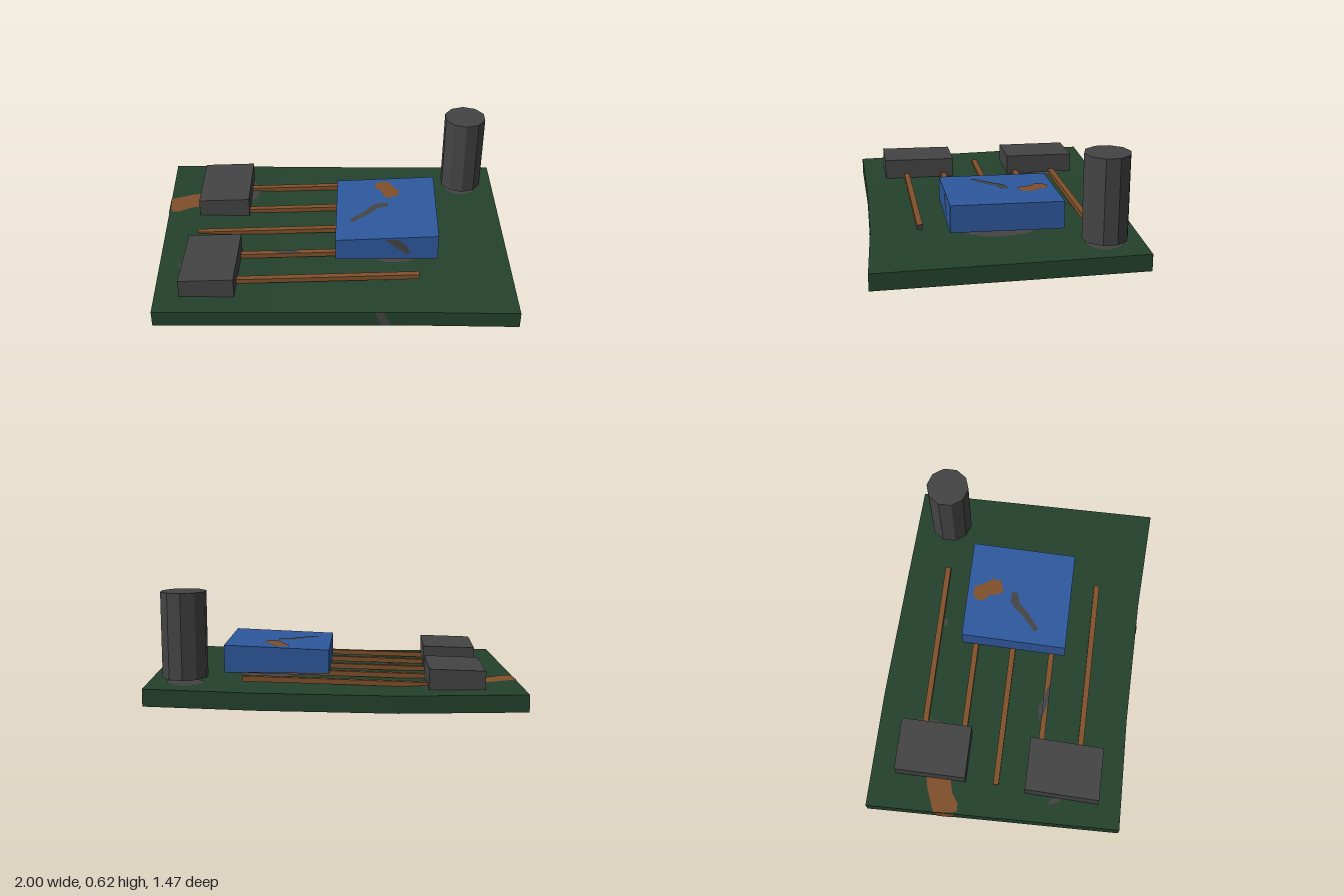
import * as THREE from 'three';

const mat = (name, color) => new THREE.MeshStandardMaterial({ name, color, flatShading: true, side: THREE.DoubleSide });
const lerp = THREE.MathUtils.lerp;

// Gently warped board: underside height, and outline at a few stations along x
const STATIONS = [-1, -0.33, 0.4, 1];
const BOTTOM = [0.016, 0.008, 0.017, 0.033];
const BACK = [-0.735, -0.735, -0.712, -0.69];
const FRONT = [0.7, 0.69, 0.7, 0.73];
const THICKNESS = 0.092;

function along(values, x) {
  let i = 0;
  while (i < 2 && x > STATIONS[i + 1]) i++;
  return lerp(values[i], values[i + 1], (x - STATIONS[i]) / (STATIONS[i + 1] - STATIONS[i]));
}
const under = (x, z) => along(BOTTOM, x) - 0.01 * z;
const over = (x, z) => under(x, z) + THICKNESS;

// Box whose floor and roof slope along x; skew shifts the back edge in x
function slab(x0, x1, z0, z1, floor, roof, skew = 0) {
  const g = new THREE.BoxGeometry(1, 1, 1);
  const p = g.attributes.position;
  for (let i = 0; i < p.count; i++) {
    const u = p.getX(i) + 0.5, w = p.getZ(i) + 0.5;
    const h = p.getY(i) > 0 ? roof : floor;
    p.setXYZ(i, lerp(x0, x1, u) + skew * (0.5 - w), lerp(h[0], h[1], u), lerp(z0, z1, w));
  }
  g.computeVertexNormals();
  return g;
}

// Flat patch from outline points (a, b), each mapped to a surface by place(a, b)
function patch(points, place) {
  const g = new THREE.ShapeGeometry(new THREE.Shape(points.map(([a, b]) => new THREE.Vector2(a, b))));
  const p = g.attributes.position;
  for (let i = 0; i < p.count; i++) p.setXYZ(i, ...place(p.getX(i), p.getY(i)));
  g.computeVertexNormals();
  return g;
}
const ellipse = (cx, cz, rx, rz, n = 14) => Array.from({ length: n }, (_, i) => {
  const a = (i / n) * Math.PI * 2;
  return [cx + rx * Math.cos(a), cz + rz * Math.sin(a)];
});

export function createModel() {
  const model = new THREE.Group();
  model.name = 'circuitBoard';
  const green = mat('boardGreen', 0x24422d);
  const blue = mat('chipBlue', 0x2e589e);
  const grey = mat('componentGrey', 0x444444);
  const copper = mat('copper', 0x80502b);
  const add = (name, geometry, material) => {
    const mesh = new THREE.Mesh(geometry, material);
    mesh.name = name;
    model.add(mesh);
  };

  // Board
  const board = new THREE.BoxGeometry(3, 1, 1, 3, 1, 1);
  const p = board.attributes.position;
  for (let i = 0; i < p.count; i++) {
    const k = Math.round(p.getX(i) + 1.5);
    const back = p.getZ(i) < 0;
    const z = (back ? BACK : FRONT)[k];
    const x = k === 0 ? (back ? -1 : -0.97) : k === 3 ? (back ? 0.985 : 0.995) : STATIONS[k];
    p.setXYZ(i, x, p.getY(i) > 0 ? over(x, z) : under(x, z), z);
  }
  board.computeVertexNormals();
  add('board', board, green);

  // Five copper traces, rising slightly to the right, with dark right ends
  [[-0.47, 0.49], [-0.24, 0.48], [-0.02, 0.48], [0.21, 0.48], [0.437, 0.475]].forEach(([z, end], i) => {
    add('trace' + (i + 1), slab(-0.795, end, z - 0.016, z + 0.016, [0.09, 0.131], [0.116, 0.16]),
      [grey, copper, copper, copper, copper, copper]);
  });

  // Components
  add('processor', slab(0.02, 0.595, -0.32, 0.287, [0.14, 0.147], [0.271, 0.298], 0.015), blue);
  add('backChip', slab(-0.797, -0.5, -0.595, -0.192, [0.095, 0.1], [0.21, 0.22], 0.005), grey);
  add('frontChip', slab(-0.83, -0.53, 0.148, 0.567, [0.092, 0.095], [0.204, 0.214], 0.015), grey);
  const capacitor = new THREE.CylinderGeometry(0.122, 0.122, 0.458, 10);
  capacitor.rotateZ(-0.004).translate(0.79, 0.387, -0.49);
  add('capacitor', capacitor, grey);

  // Stains on top of the board
  const onTop = (x, z) => [x, over(x, z) + 0.004, z];
  const cornerStain = [[-0.978, -0.22], [-0.995, -0.35], [-0.87, -0.4], [-0.79, -0.42], [-0.79, -0.28], [-0.87, -0.26], [-0.93, -0.22]];
  add('cornerStain', patch(cornerStain, onTop), copper);
  add('processorShadowPad', patch(ellipse(0.35, 0, 0.255, 0.28), onTop), grey);
  add('capacitorPad', patch(ellipse(0.79, -0.49, 0.1, 0.1), onTop), grey);
  add('backChipPad', patch(ellipse(-0.53, -0.45, 0.075, 0.12), onTop), grey);
  add('frontChipPad', patch([[-0.88, 0.28], [-0.84, 0.3], [-0.82, 0.35], [-0.85, 0.35]], onTop), grey);
  add('smallStain', patch(ellipse(0.15, -0.44, 0.025, 0.012, 8), onTop), grey);
  const onTrace = (x, z) => [x, lerp(0.116, 0.16, (x + 0.795) / 1.275) + 0.003, z];
  add('traceStain', patch([[-0.39, 0.195], [-0.28, 0.194], [-0.2, 0.21], [-0.17, 0.226], [-0.28, 0.226]], onTrace), grey);
  add('traceStainSpill', patch([[-0.39, 0.18], [-0.31, 0.17], [-0.22, 0.21], [-0.2, 0.235], [-0.33, 0.2]], onTop), grey);

  // Stains on the left, front and underside of the board
  const onLeft = (z, y) => [lerp(-1, -0.97, (z + 0.735) / 1.435) - 0.003, y, z];
  add('leftEdgeStain', patch([[-0.35, 0.11], [-0.22, 0.108], [-0.25, 0.02], [-0.33, 0.022]], onLeft), copper);
  const onFront = (x, y) => [x, y, along(FRONT, x) + 0.003];
  add('frontEdgeStain', patch([[0.22, 0.1], [0.27, 0.1], [0.305, 0.015], [0.26, 0.012]], onFront), grey);
  const onBottom = (x, z) => [x, under(x, z) - 0.001, z];
  add('bottomCornerStain', patch([[-0.985, -0.33], [-0.9, -0.34], [-0.9, -0.24], [-0.978, -0.2]], onBottom), copper);
  add('bottomStain', patch(ellipse(0.5, -0.21, 0.07, 0.055, 9), onBottom), copper);
  add('bottomStreak', patch(ellipse(0.32, 0.11, 0.045, 0.03, 8), onBottom), copper);
  add('bottomSpot', patch(ellipse(0.23, -0.02, 0.016, 0.016, 7), onBottom), copper);
  add('bottomGreyStreak', patch([[0.2, 0.25], [0.17, 0.32], [0.05, 0.4], [0.08, 0.33]], onBottom), grey);

  // Marks on the processor
  const onChip = (x, z) => [x, lerp(0.271, 0.298, (x - 0.02) / 0.575) + 0.003, z];
  add('processorStain', patch([[0.25, -0.26], [0.28, -0.285], [0.33, -0.28], [0.355, -0.23], [0.39, -0.18], [0.38, -0.13],
    [0.32, -0.11], [0.295, -0.14], [0.285, -0.19], [0.25, -0.22]], onChip), copper);
  add('processorScratch', patch([[0.09, 0.1], [0.18, 0.02], [0.22, -0.03], [0.26, -0.06], [0.32, -0.06], [0.32, -0.025],
    [0.26, -0.01], [0.2, 0.05], [0.11, 0.12]], onChip), grey);
  const onChipFront = (x, y) => [x, y, 0.29];
  add('processorFrontScratch', patch([[0.29, 0.276], [0.36, 0.278], [0.41, 0.235], [0.43, 0.19], [0.41, 0.18], [0.37, 0.21]], onChipFront), grey);
  return model;
}
